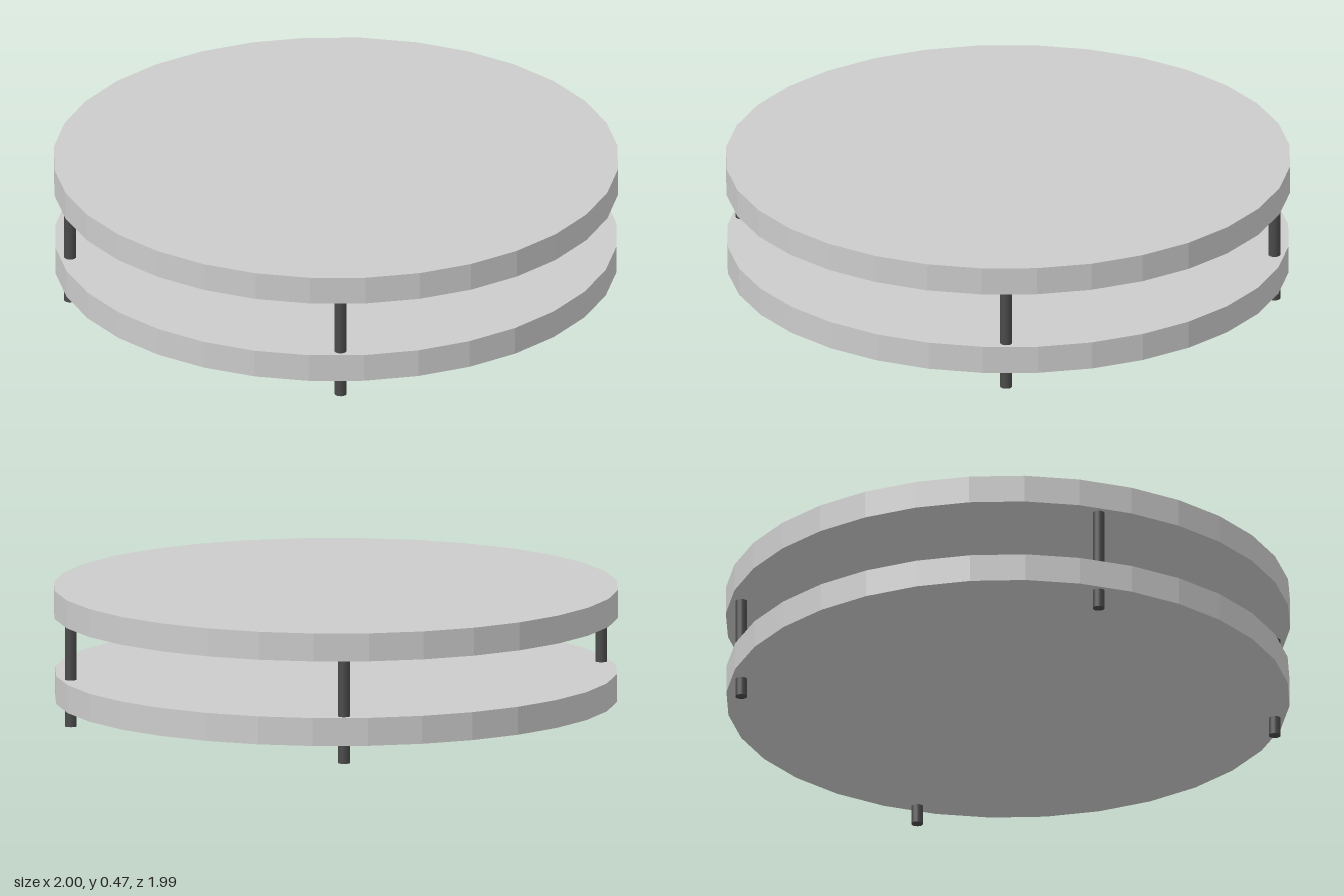
import * as THREE from 'three';

const SIDES = 32;
const RIM_INNER = 0.885;
const THICKNESS = 0.1;

const grey = new THREE.MeshStandardMaterial({ color: 0xcccccc, flatShading: true });
const rimGrey = new THREE.MeshStandardMaterial({ color: 0xbdbdbd, flatShading: true });
const darkMetal = new THREE.MeshStandardMaterial({ color: 0x4a4a4a });

function part(name, geometry, material) {
  const mesh = new THREE.Mesh(geometry, material);
  mesh.name = name;
  return mesh;
}

// Round board: a faceted rim band around a flush centre panel
function makeBoard(name, bottom, radiusX, radiusZ) {
  const board = new THREE.Group();
  board.name = name;
  const h = THICKNESS / 2;
  const profile = [[RIM_INNER, -h], [1, -h], [1, h], [RIM_INNER, h]]
    .map(([r, y]) => new THREE.Vector2(r, y));
  board.add(
    part(name + 'Rim', new THREE.LatheGeometry(profile, SIDES), rimGrey),
    part(name + 'Panel', new THREE.CylinderGeometry(RIM_INNER, RIM_INNER, THICKNESS, SIDES), grey)
  );
  board.scale.set(radiusX, 1, radiusZ);
  board.position.y = bottom + h;
  return board;
}

export function createModel() {
  const model = new THREE.Group();
  model.name = 'twoTierRoundTable';

  model.add(makeBoard('lowerShelf', 0.067, 0.992, 0.996));
  model.add(makeBoard('tableTop', 0.37, 1, 0.996));

  // Four thin legs run through the shelf and end inside the top
  const legHeight = 0.42;
  const legGeometry = new THREE.CylinderGeometry(0.021, 0.021, legHeight, 16);
  for (const [side, x] of [['Left', 0.615], ['Right', -0.615]]) {
    for (const [end, z] of [['front', 0.73], ['back', -0.73]]) {
      const leg = part(end + side + 'Leg', legGeometry, darkMetal);
      leg.position.set(x, legHeight / 2, z);
      model.add(leg);
    }
  }
  return model;
}
